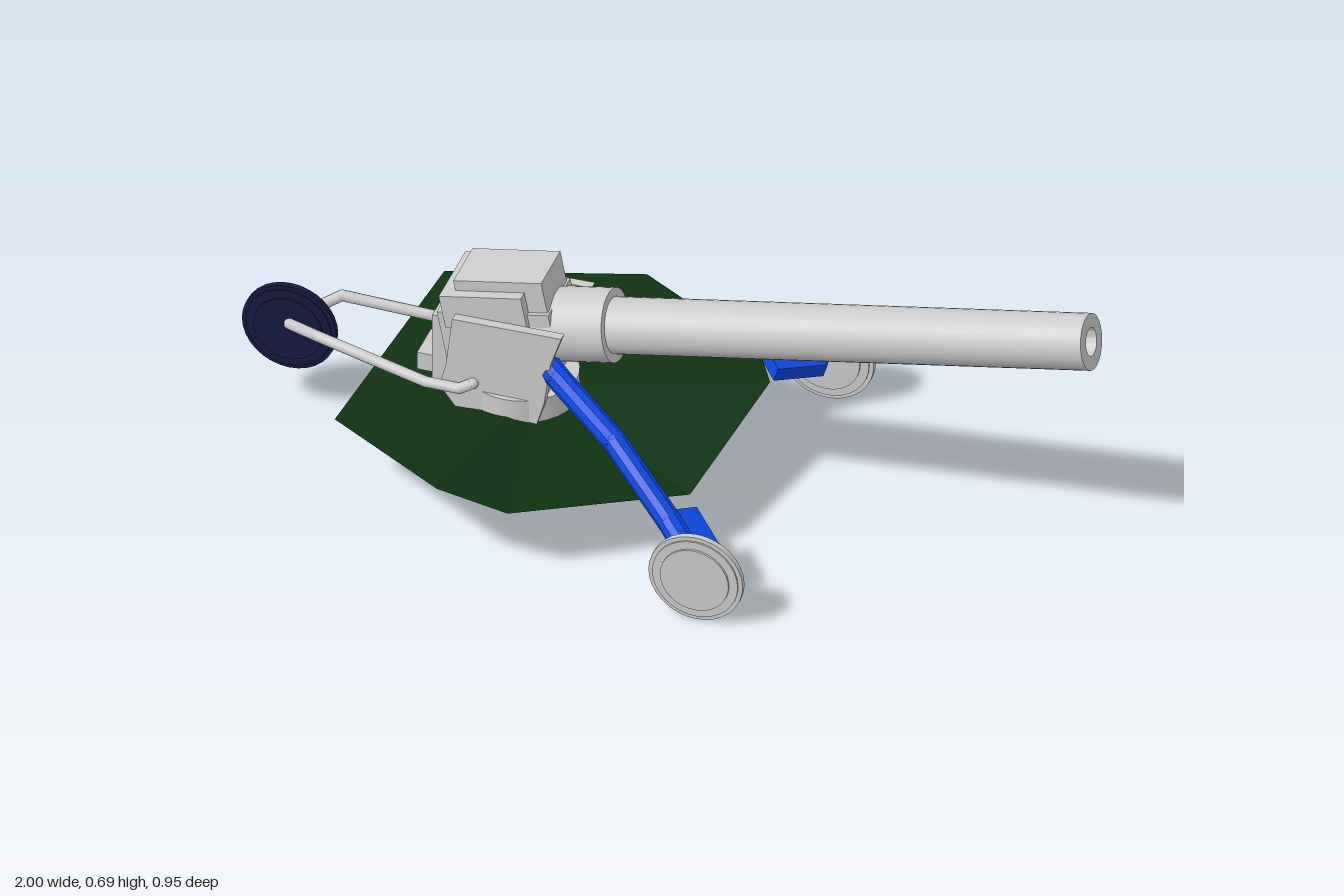
import * as THREE from 'three';
import { toCreasedNormals } from 'three/addons/utils/BufferGeometryUtils.js';

const grey = new THREE.MeshStandardMaterial({ color: 0xcccccc });
const blue = new THREE.MeshStandardMaterial({ color: 0x0d47dd, flatShading: true });
const navy = new THREE.MeshStandardMaterial({ color: 0x14193d });
const green = new THREE.MeshStandardMaterial({ color: 0x0f3312, flatShading: true, side: THREE.DoubleSide });

function add(parent, name, geometry, material, x = 0, y = 0, z = 0) {
  const mesh = new THREE.Mesh(geometry, material);
  mesh.name = name;
  mesh.position.set(x, y, z);
  parent.add(mesh);
  return mesh;
}

// Box given by its limits in x and y and its half width in z
function block(parent, name, x0, x1, y0, y1, hz) {
  return add(parent, name, new THREE.BoxGeometry(x1 - x0, y1 - y0, 2 * hz), grey, (x0 + x1) / 2, (y0 + y1) / 2);
}

// Round bar through a list of points, with a ball at each joint
function rod(name, points, radius, material, sides) {
  const group = new THREE.Group();
  group.name = name;
  const v = points.map((p) => new THREE.Vector3(...p));
  for (let i = 0; i < v.length - 1; i++) {
    const dir = v[i + 1].clone().sub(v[i]);
    const mid = v[i].clone().add(v[i + 1]).multiplyScalar(0.5);
    const bar = add(group, name + 'Section', new THREE.CylinderGeometry(radius, radius, dir.length(), sides), material, mid.x, mid.y, mid.z);
    bar.quaternion.setFromUnitVectors(new THREE.Vector3(0, 1, 0), dir.normalize());
  }
  v.forEach((p) => add(group, name + 'Joint', new THREE.SphereGeometry(radius, sides, 8), material, p.x, p.y, p.z));
  return group;
}

// Turned part lying along +x
function turned(parent, name, profile) {
  const geometry = new THREE.LatheGeometry(profile.map((p) => new THREE.Vector2(...p)), 32);
  geometry.rotateZ(-Math.PI / 2);
  return add(parent, name, toCreasedNormals(geometry, 0.6), grey);
}

// Thin disc with a stepped hub on both faces
function wheel(parent, name, material, x, y, z) {
  const group = new THREE.Group();
  group.name = name;
  group.position.set(x, y, z);
  [['rim', 0.11, 0.014], ['step', 0.1, 0.022], ['hub', 0.08, 0.032]].forEach(([part, r, width]) =>
    add(group, part, new THREE.CylinderGeometry(r, r, width, 32).rotateX(Math.PI / 2), material));
  parent.add(group);
}

// Uneven eight-sided ground sheet, fanned around its middle
function groundSheet(parent) {
  const rim = [
    [-0.65, 0.2, -0.34], [-0.7, 0.19, 0.255], [-0.385, 0.225, 0.475], [-0.225, 0.185, 0.46],
    [0.125, 0.17, 0.24], [0.18, 0.23, -0.14], [0.095, 0.178, -0.315], [-0.225, 0.196, -0.48],
  ];
  const positions = [];
  rim.forEach((p, i) => positions.push(-0.32, 0.195, 0, ...p, ...rim[(i + 1) % rim.length]));
  const geometry = new THREE.BufferGeometry();
  geometry.setAttribute('position', new THREE.Float32BufferAttribute(positions, 3));
  geometry.computeVertexNormals();
  add(parent, 'groundSheet', geometry, green);
}

export function createModel() {
  const model = new THREE.Group();
  model.name = 'fieldGun';
  groundSheet(model);

  const gun = new THREE.Group();
  gun.name = 'gunAssembly';
  gun.position.z = 0.014;
  model.add(gun);

  // Turntable and carriage body
  add(gun, 'turntable', new THREE.CylinderGeometry(0.127, 0.127, 0.16, 32), grey, -0.345, 0.17);
  block(gun, 'carriageBody', -0.45, -0.26, 0.24, 0.36, 0.092);
  block(gun, 'rearBox', -0.535, -0.46, 0.18, 0.39, 0.06);
  block(gun, 'rearStep', -0.575, -0.5, 0.225, 0.27, 0.047);

  // Barrel group tilted upwards about the sleeve's front
  const barrel = new THREE.Group();
  barrel.name = 'elevatingMass';
  barrel.position.set(-0.128, 0.417, 0);
  barrel.rotation.z = 0.193;
  gun.add(barrel);
  turned(barrel, 'barrelTube', [[0.064, -0.15], [0.064, 1.133], [0.032, 1.133], [0.032, 0.3], [0, 0.3]]);
  turned(barrel, 'barrelSleeve', [[0, -0.25], [0.084, -0.25], [0.084, 0], [0, 0]]);
  block(barrel, 'breech', -0.385, -0.12, -0.08, 0.07, 0.075);
  block(barrel, 'breechHousing', -0.365, -0.17, 0.04, 0.122, 0.09);
  block(barrel, 'breechCover', -0.334, -0.125, 0.05, 0.148, 0.065);

  // Side plates
  const outline = [[-0.47, 0.43], [-0.215, 0.435], [-0.24, 0.36], [-0.255, 0.25], [-0.28, 0.165], [-0.44, 0.165], [-0.5, 0.245], [-0.485, 0.3]];
  const plate = new THREE.ExtrudeGeometry(new THREE.Shape(outline.map((p) => new THREE.Vector2(...p))), { depth: 0.022, bevelEnabled: false });
  plate.translate(0, 0, -0.011);

  for (const s of [1, -1]) {
    add(gun, 'sidePlate', plate, grey, 0, 0, s * 0.103);

    // Rear arm holding the trailing wheel
    gun.add(rod('rearArm', [
      [-0.42, 0.27, s * 0.118], [-0.45, 0.252, s * 0.122], [-0.53, 0.25, s * 0.12],
      [-0.795, 0.285, s * 0.082], [-0.885, 0.25, s * 0.012],
    ], 0.013, grey, 10));

    // Front leg with its spade
    gun.add(rod('frontLeg', [
      [-0.27, 0.338, s * 0.07], [-0.225, 0.322, s * 0.105], [-0.05, 0.275, s * 0.23],
      [0.12, 0.18, s * 0.35], [0.2, 0.135, s * 0.415],
    ], 0.028, blue, 10));
    const spade = add(gun, 'legSpade', new THREE.BoxGeometry(0.075, 0.035, 0.125), blue, 0.17, 0.155, s * 0.345);
    spade.rotation.set(0, s * 0.8, -0.3, 'ZYX');
    add(gun, 'axle', new THREE.CylinderGeometry(0.018, 0.018, 0.05, 12).rotateX(Math.PI / 2), blue, 0.21, 0.125, s * 0.415);
    wheel(gun, 'frontWheel', grey, 0.215, 0.115, s * 0.442);
  }
  wheel(gun, 'rearWheel', navy, -0.89, 0.233, -0.006);
  return model;
}
